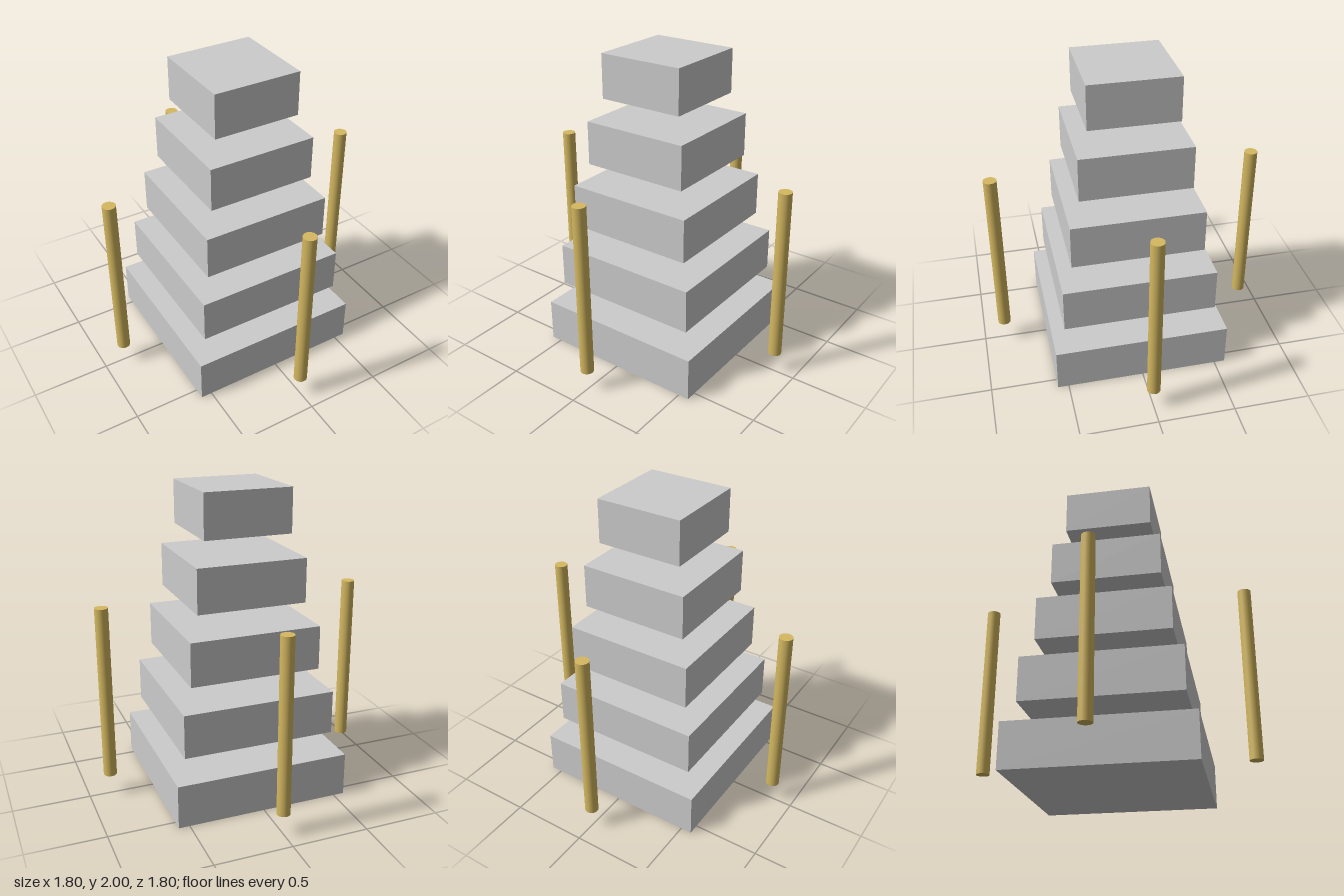
import * as THREE from 'three';

const U = 1 / 7; // base module: every dimension is a multiple of it

export function createModel() {
  const model = new THREE.Group();
  model.name = 'tieredTower';
  const stone = new THREE.MeshStandardMaterial({ color: 0xcccccc });
  const gold = new THREE.MeshStandardMaterial({ color: 0xd4b860 });

  // Five floating square tiers, each narrower than the one below
  for (let i = 0; i < 5; i++) {
    const width = (8 - i) * U - 0; 
    const tier = new THREE.Mesh(new THREE.BoxGeometry(width, 2 * U, width), stone);
    tier.name = `tier${i + 1}`;
    tier.position.y = (1 + 3 * i) * U;
    model.add(tier);
  }

  // Four slender round columns, one facing each side
  const columnGeometry = new THREE.CylinderGeometry(0.3 * U, 0.3 * U, 8 * U, 32);
  ['front', 'left', 'back', 'right'].forEach((side, i) => {
    const angle = (i * Math.PI) / 2;
    const column = new THREE.Mesh(columnGeometry, gold);
    column.name = `${side}Column`;
    column.position.set(6 * U * Math.sin(angle), 5 * U, 6 * U * Math.cos(angle));
    model.add(column);
  });

  return model;
}
